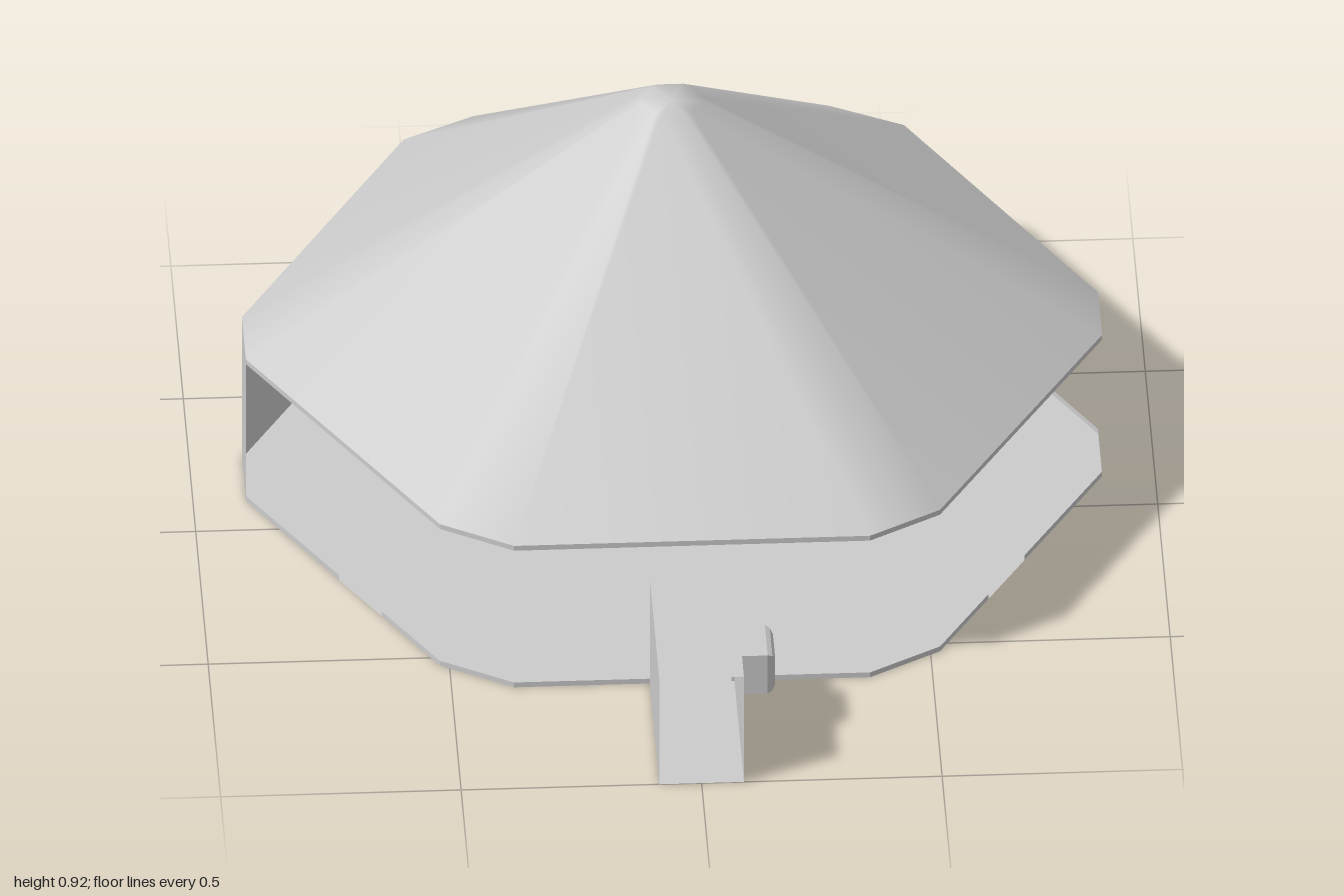
import * as THREE from 'three';

const smooth = new THREE.MeshStandardMaterial({ color: 0xcccccc, side: THREE.DoubleSide });
const flat = new THREE.MeshStandardMaterial({ color: 0xcccccc, side: THREE.DoubleSide, flatShading: true });

// Hexagonal plan with clipped corners, as [x, z]
const plan = [
  [0.89, -0.11], [0.52, 0.53], [0.37, 0.62], [-0.37, 0.62], [-0.52, 0.53], [-0.89, -0.11],
  [-0.89, -0.27], [-0.52, -0.92], [-0.37, -1], [0.37, -1], [0.52, -0.92], [0.89, -0.27],
];
const CENTRE_Z = -0.19;
const WALL_TOP = 0.34, EAVE_TOP = 0.352, ROOF_TOP = 0.915, SKIRT = 0.012;

// Doorways as start and end fractions along plan edges
const doors = { 0: [0.48, 0.7], 2: [0.39, 0.61], 4: [0.3, 0.52], 6: [0.4, 0.62], 8: [0.39, 0.61], 10: [0.38, 0.6] };

// Joins rings of [x, y, z] points into a skin; the last ring may be closed to its middle
function loft(rings, close = false) {
  const n = rings[0].length, index = [];
  const points = rings.flat();
  for (let r = 0; r < rings.length - 1; r++) {
    for (let i = 0; i < n; i++) {
      const j = (i + 1) % n, a = r * n + i, b = r * n + j;
      index.push(a, a + n, b + n, a, b + n, b);
    }
  }
  if (close) {
    const last = rings[rings.length - 1], base = (rings.length - 1) * n;
    points.push([0, 1, 2].map(k => last.reduce((s, p) => s + p[k], 0) / n));
    for (let i = 0; i < n; i++) index.push(base + i, rings.length * n, base + (i + 1) % n);
  }
  const g = new THREE.BufferGeometry();
  g.setAttribute('position', new THREE.Float32BufferAttribute(points.flat(), 3));
  g.setIndex(index);
  g.computeVertexNormals();
  return g;
}

// Plan outline scaled about its centre at height y
const ring = (y, s = 1) => plan.map(([x, z]) => [x * s, y, CENTRE_Z + (z - CENTRE_Z) * s]);

// Upright panel over part of one plan edge
function panel(edge, t0, t1, y0, y1) {
  const p = plan[edge], q = plan[(edge + 1) % plan.length];
  const at = (t, y) => [p[0] + (q[0] - p[0]) * t, y, p[1] + (q[1] - p[1]) * t];
  const g = new THREE.BufferGeometry();
  const pts = [at(t0, y0), at(t0, y1), at(t1, y1), at(t1, y0)];
  g.setAttribute('position', new THREE.Float32BufferAttribute(pts.flat(), 3));
  g.setIndex([0, 1, 2, 0, 2, 3]);
  g.computeVertexNormals();
  return g;
}

export function createModel() {
  const model = new THREE.Group();
  const add = (name, geometry, material = flat) => {
    const mesh = new THREE.Mesh(geometry, material);
    mesh.name = name;
    model.add(mesh);
    return mesh;
  };

  // Roof cone and its thin eave band
  add('roof', loft([ring(EAVE_TOP), ring(ROOF_TOP, 0.073)], true), smooth);
  add('eaveBand', loft([ring(WALL_TOP), ring(EAVE_TOP)]));

  // Floor sheet
  const floor = new THREE.ShapeGeometry(new THREE.Shape(plan.map(([x, z]) => new THREE.Vector2(x, z))));
  add('floor', floor.rotateX(Math.PI / 2));

  // Three standing walls; the other edges have only a low skirt, broken at doorways
  for (let e = 0; e < plan.length; e++) {
    const isWall = e >= 5 && e <= 7;
    const name = isWall ? 'wall' : 'floorSkirt';
    const height = isWall ? WALL_TOP : SKIRT;
    if (!doors[e]) {
      add(name, panel(e, 0, 1, 0, height));
      continue;
    }
    const [t0, t1] = doors[e];
    add(name, panel(e, 0, t0, 0, height));
    add(name, panel(e, t1, 1, 0, height));
    if (isWall) add('wallAboveDoor', panel(e, t0, t1, 0.257, height));
  }

  // Entrance tunnel, open at both ends
  const tunnelRing = z => [[-0.088, 0, z], [-0.088, 0.262, z], [0.088, 0.262, z], [0.088, 0, z]];
  add('entranceTunnel', loft([tunnelRing(0.62), tunnelRing(1)]));

  // Bevelled window box on the tunnel's side
  const windowRing = (x, inset) => {
    const z0 = 0.74 + inset, z1 = 0.855 - inset, y0 = 0.122 + inset, y1 = 0.217 - inset;
    return [[x, y0, z1], [x, y1, z1], [x, y1, z0], [x, y0, z0]];
  };
  add('tunnelWindow', loft([windowRing(0.088, 0), windowRing(0.145, 0), windowRing(0.155, 0.005), windowRing(0.161, 0.014)], true));

  // Small wedge standing out from the clipped back corner
  const wedge = new THREE.Shape([[0, 0.12], [0, 0.22], [-0.1, 0.12]].map(p => new THREE.Vector2(...p)));
  const vent = add('cornerVent', new THREE.ExtrudeGeometry(wedge, { depth: 0.016, bevelEnabled: false }));
  vent.position.set(-0.512, 0, -0.924);
  vent.rotation.y = Math.PI + Math.atan2(0.08, 0.15);

  return model;
}
